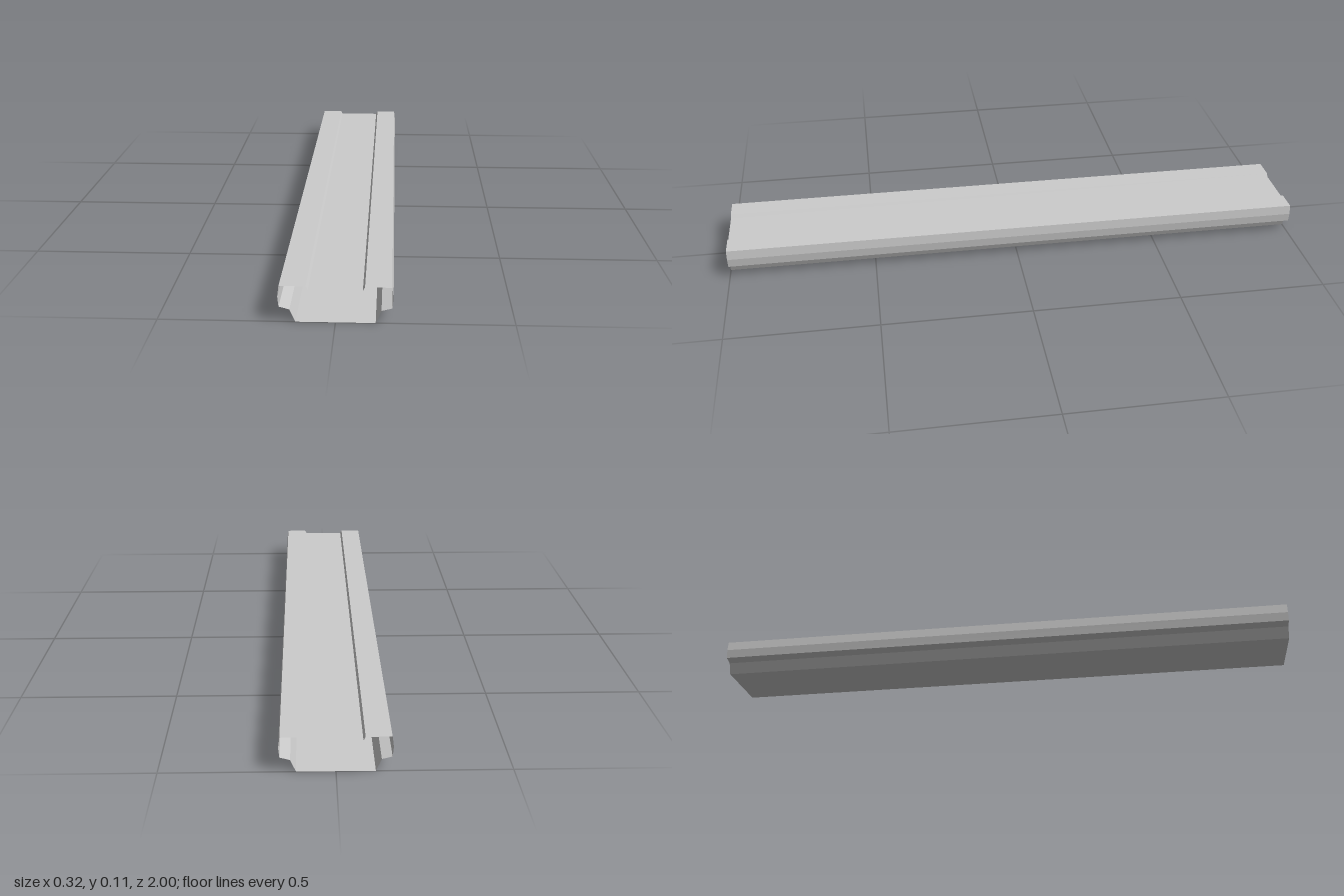
import * as THREE from 'three';

const material = new THREE.MeshStandardMaterial({
  color: 0xcccccc, flatShading: true, side: THREE.DoubleSide,
});

// Sweeps a chain of [x, y] points straight along z as an open thin sheet.
function sheet(name, points, length = 2) {
  const position = [];
  const z = length / 2;
  for (let i = 0; i < points.length - 1; i++) {
    const [ax, ay] = points[i];
    const [bx, by] = points[i + 1];
    position.push(ax, ay, z, ax, ay, -z, bx, by, -z);
    position.push(ax, ay, z, bx, by, -z, bx, by, z);
  }
  const geometry = new THREE.BufferGeometry();
  geometry.setAttribute('position', new THREE.Float32BufferAttribute(position, 3));
  geometry.computeVertexNormals();
  const mesh = new THREE.Mesh(geometry, material);
  mesh.name = name;
  return mesh;
}

export function createModel() {
  const group = new THREE.Group();
  group.name = 'hollowRail';

  // Points of one half of the section, from the groove floor round to the base
  const grooveFoot = [0.076, 0.096];
  const grooveLip = [0.082, 0.107];
  const shoulder = [0.157, 0.107];
  const bulge = [0.161, 0.075];
  const wallFoot = [0.158, 0.045];
  const ledge = [0.128, 0.037];
  const baseEdge = [0.112, 0];

  // Parts repeated on both sides; the chain is reversed on +x so faces point outward
  for (const [side, s] of [['left', 1], ['right', -1]]) {
    const add = (name, chain) => {
      const points = chain.map(([x, y]) => [s * x, y]);
      group.add(sheet(side + name, s > 0 ? points.reverse() : points));
    };
    add('GrooveWall', [grooveFoot, grooveLip]);
    add('TopFlange', [grooveLip, shoulder]);
    add('SideWall', [shoulder, bulge, wallFoot]);
    add('LowerWall', [wallFoot, ledge, baseEdge]);
  }

  // Recessed top panel and flat base
  const across = ([x, y], s) => [[s * x, y], [-s * x, y]];
  group.add(sheet('grooveFloor', across(grooveFoot, 1)));
  group.add(sheet('base', across(baseEdge, -1)));
  return group;
}
